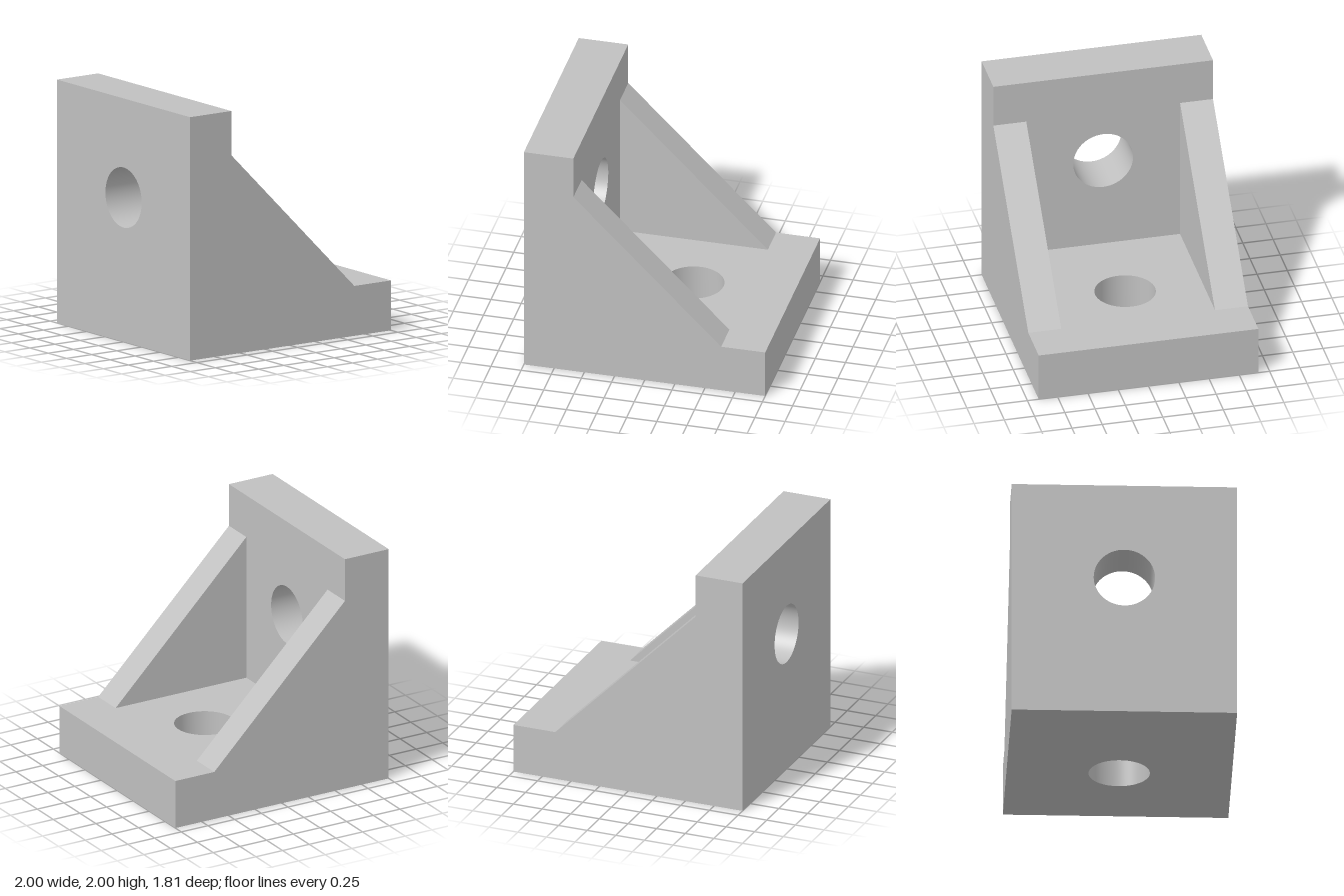
import * as THREE from 'three';
import { toCreasedNormals } from 'three/addons/utils/BufferGeometryUtils.js';

const T = 0.41;        // plate thickness
const HALF = 0.907;    // half depth in z
const RIB = 0.272;     // gusset thickness
const HOLE = 0.247;    // bolt hole radius
const INNER = -1 + T;  // inner face of the upright plate

// Extrudes a closed outline, with an optional round hole
function plate(points, depth, hole) {
  const shape = new THREE.Shape(points.map(([x, y]) => new THREE.Vector2(x, y)));
  if (hole) shape.holes.push(new THREE.Path().absarc(hole[0], hole[1], HOLE, 0, Math.PI * 2, true));
  const geometry = new THREE.ExtrudeGeometry(shape, { depth, bevelEnabled: false, curveSegments: 64 });
  return toCreasedNormals(geometry, Math.PI / 6);
}

export function createModel() {
  const group = new THREE.Group();
  group.name = 'cornerBracket';
  const metal = new THREE.MeshStandardMaterial({ color: 0xc0c0c0 });
  metal.name = 'grey metal';

  function add(name, geometry) {
    const mesh = new THREE.Mesh(geometry, metal);
    mesh.name = name;
    group.add(mesh);
  }

  // Upright plate, extruded along x
  const upright = plate([[-HALF, 0], [HALF, 0], [HALF, 2], [-HALF, 2]], T, [0, 1.185]);
  add('uprightPlate', upright.rotateY(Math.PI / 2).translate(-1, 0, 0));

  // Base plate, extruded along y
  const base = plate([[INNER, -HALF], [1, -HALF], [1, HALF], [INNER, HALF]], T, [0.18, 0]);
  add('basePlate', base.rotateX(-Math.PI / 2));

  // Triangular side gussets
  for (const [name, z] of [['frontGusset', HALF - RIB], ['backGusset', -HALF]]) {
    add(name, plate([[INNER, T], [0.635, T], [INNER, 1.637]], RIB).translate(0, 0, z));
  }
  return group;
}
